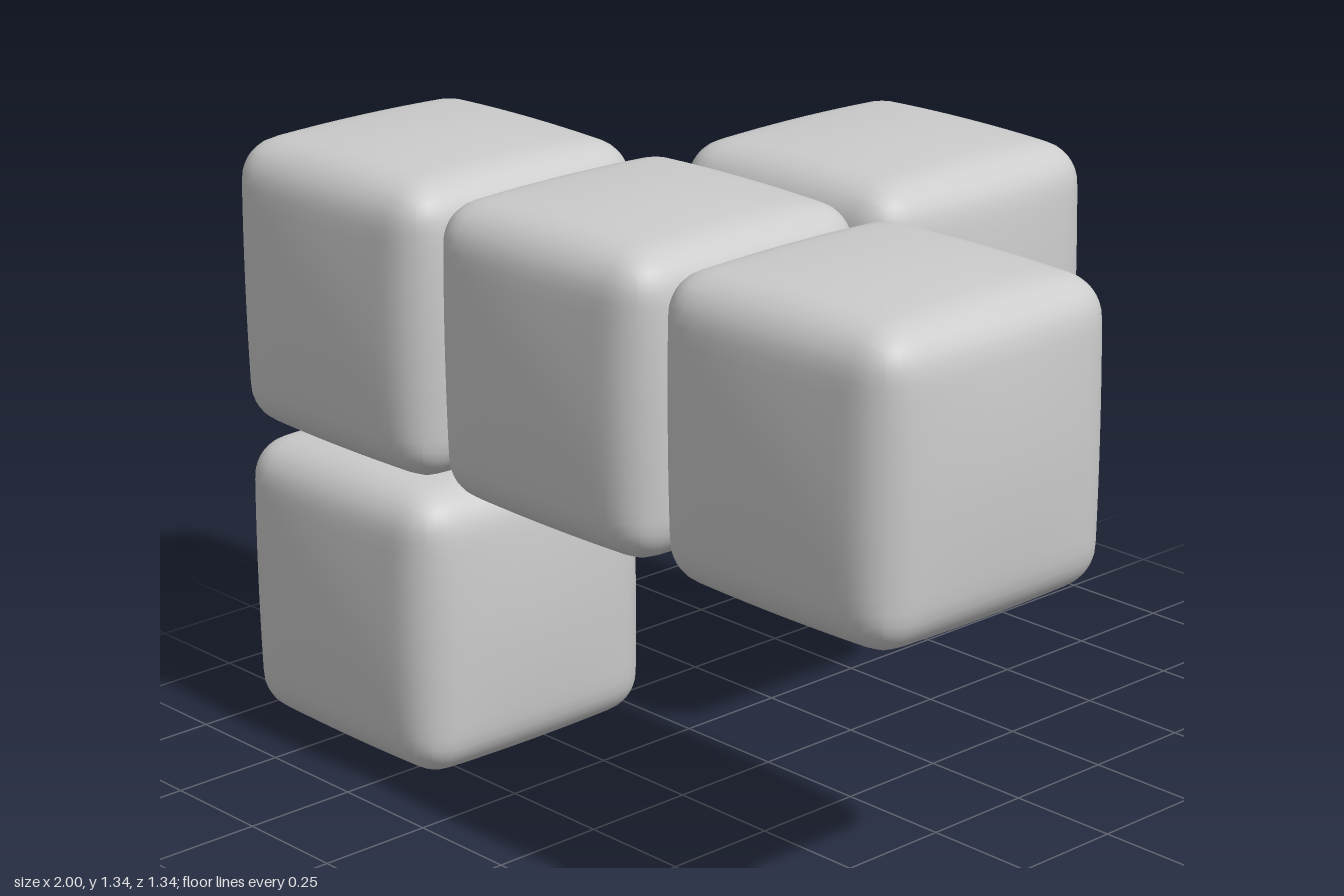
import * as THREE from 'three';
import { mergeVertices } from 'three/addons/utils/BufferGeometryUtils.js';

const STEP = 0.664;   // spacing between neighbouring cubes
const HALF = 0.336;   // half width at the middle of a face
const BULGE = 0.024;  // how far face centres swell past the edges
const RADIUS = 0.085; // edge rounding

// Soft cube: rounded edges and gently swollen faces
function softCubeGeometry() {
  const a = HALF - BULGE, inner = a - RADIUS;
  const box = new THREE.BoxGeometry(2, 2, 2, 24, 24, 24);
  box.deleteAttribute('uv');
  box.deleteAttribute('normal');
  const geo = mergeVertices(box, 1e-4);
  const pos = geo.attributes.position;
  const p = new THREE.Vector3(), core = new THREE.Vector3();
  const limit = new THREE.Vector3(inner, inner, inner);
  const negLimit = limit.clone().negate();
  const ease = t => a * Math.sin(t * Math.PI / 2); // packs rows towards the edges
  for (let i = 0; i < pos.count; i++) {
    p.fromBufferAttribute(pos, i);
    p.set(ease(p.x), ease(p.y), ease(p.z));
    core.copy(p).clamp(negLimit, limit);
    p.sub(core).setLength(RADIUS).add(core);
    const u = p.x / a, v = p.y / a, w = p.z / a;
    const fx = 1 - u * u, fy = 1 - v * v, fz = 1 - w * w;
    p.x += BULGE * u * fy * fz;
    p.y += BULGE * v * fx * fz;
    p.z += BULGE * w * fx * fy;
    pos.setXYZ(i, p.x, p.y, p.z);
  }
  geo.computeVertexNormals();
  return geo;
}

export function createModel() {
  const group = new THREE.Group();
  group.name = 'cubePiece';
  const geo = softCubeGeometry();
  const mat = new THREE.MeshStandardMaterial({ color: 0xcccccc });

  // Grid cells: x column, y level, z row
  const cells = {
    rightCube: [-1, 1, 0.5],
    middleCube: [0, 1, 0.5],
    leftCube: [1, 1, 0.5],
    lowerCube: [-1, 0, 0.5],
    backCube: [0, 1, -0.5],
  };
  for (const [name, [x, y, z]] of Object.entries(cells)) {
    const cube = new THREE.Mesh(geo, mat);
    cube.name = name;
    cube.position.set(x * STEP, HALF + y * STEP, z * STEP);
    group.add(cube);
  }
  return group;
}
